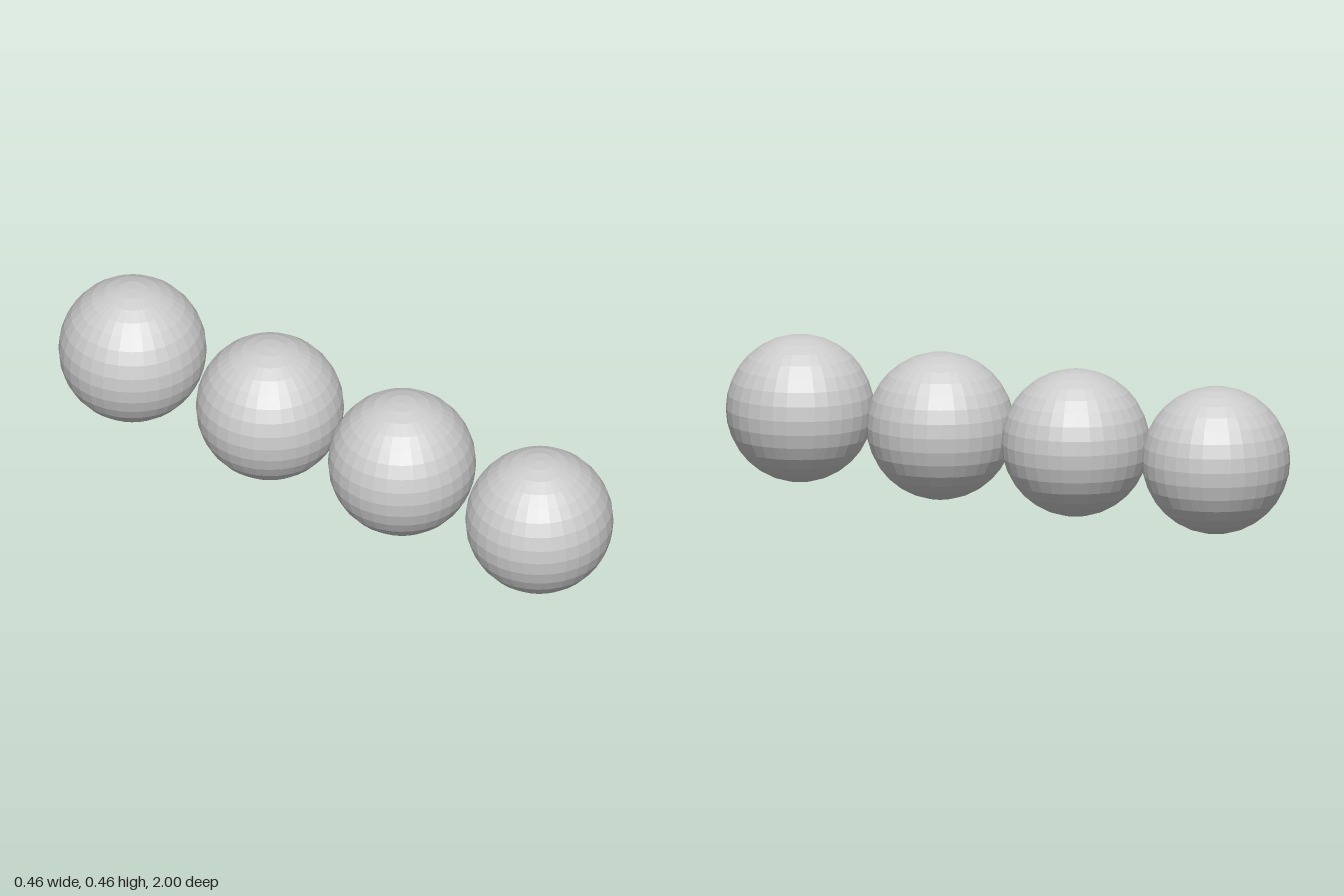
import * as THREE from 'three';

// Four equal faceted balls standing in a row from front to back
export function createModel() {
  const group = new THREE.Group();
  group.name = 'ballRow';
  const radius = 0.23;
  const material = new THREE.MeshStandardMaterial({ color: 0xcccccc, flatShading: true });
  const geometry = new THREE.SphereGeometry(radius, 32, 16);

  // The middle gap is slightly narrower than the outer gaps
  [0.77, 0.25, -0.25, -0.77].forEach((z, i) => {
    const ball = new THREE.Mesh(geometry, material);
    ball.name = `ball${i + 1}`;
    ball.position.set(0, radius, z);
    group.add(ball);
  });
  return group;
}
